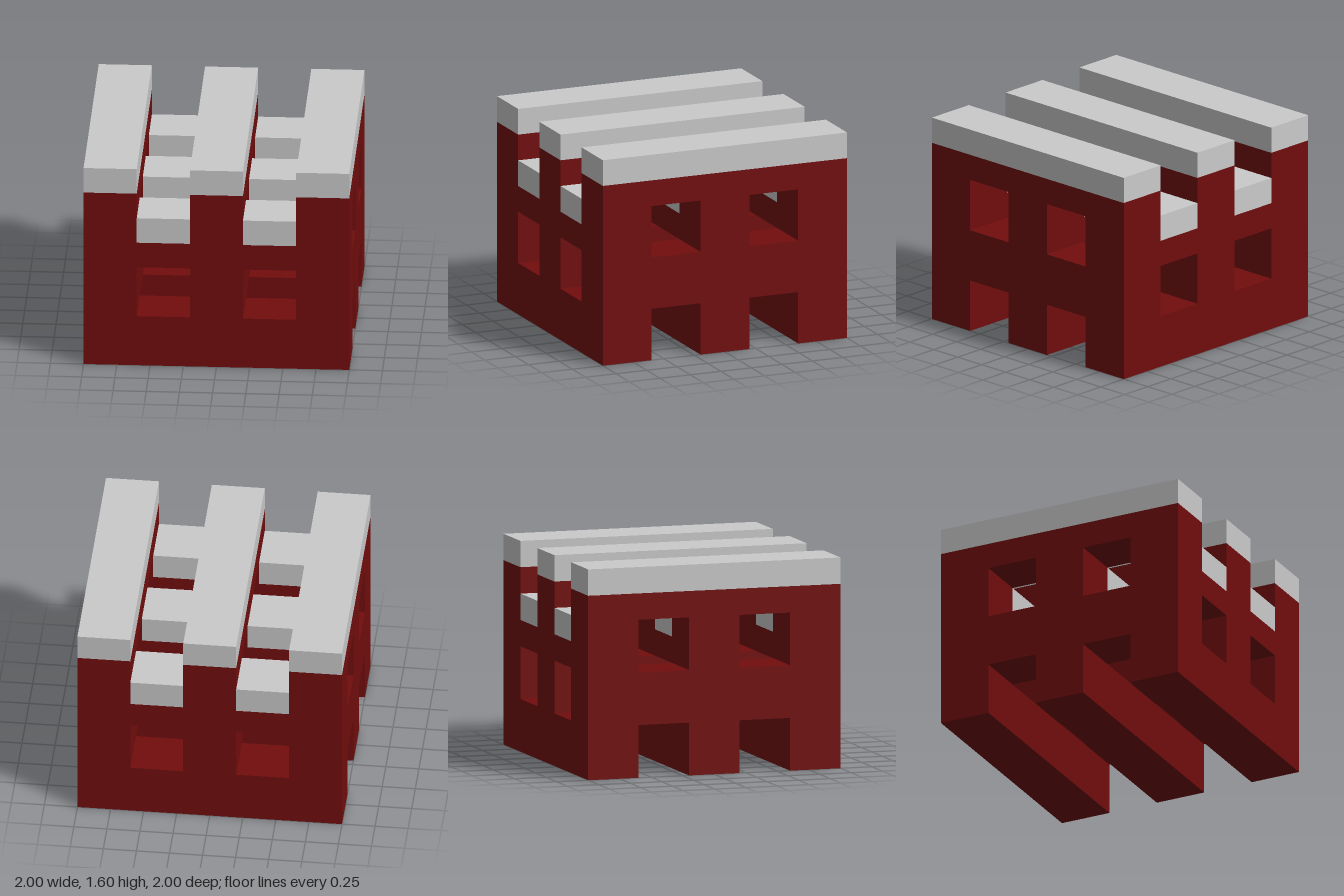
import * as THREE from 'three';

const U = 0.4; // beam width and layer height
const CAP = 0.2; // thickness of the grey tops

export function createModel() {
  const model = new THREE.Group();
  model.name = 'beamLattice';
  const darkRed = new THREE.MeshStandardMaterial({ color: 0x720d0d });
  darkRed.name = 'dark red';
  const lightGrey = new THREE.MeshStandardMaterial({ color: 0xcacaca });
  lightGrey.name = 'light grey';

  function add(name, geometry, material, x, y, z) {
    const mesh = new THREE.Mesh(geometry, material);
    mesh.name = name;
    mesh.position.set(x, y, z);
    model.add(mesh);
  }

  // Side wall outline: three feet with two notches, and two windows above them
  const outline = new THREE.Shape([
    [-1, 0], [-0.6, 0], [-0.6, U], [-0.2, U], [-0.2, 0], [0.2, 0],
    [0.2, U], [0.6, U], [0.6, 0], [1, 0], [1, 1.4], [-1, 1.4],
  ].map(([z, y]) => new THREE.Vector2(z, y)));
  for (const z of [-0.6, 0.2]) {
    outline.holes.push(new THREE.Path([
      [z, 0.8], [z, 1.2], [z + U, 1.2], [z + U, 0.8],
    ].map(([a, b]) => new THREE.Vector2(a, b))));
  }
  const wall = new THREE.ExtrudeGeometry(outline, { depth: U, bevelEnabled: false });
  wall.translate(0, 0, -U / 2).rotateY(Math.PI / 2);

  // Three walls running front to back, each with a grey top rail
  const rail = new THREE.BoxGeometry(U, CAP, 2);
  for (const x of [-0.8, 0, 0.8]) {
    add('wall', wall, darkRed, x, 0, 0);
    add('topRail', rail, lightGrey, x, 1.5, 0);
  }

  // Cross beams bridging the gaps between walls, the upper ones capped in grey
  const lower = new THREE.BoxGeometry(U, U, U);
  const half = new THREE.BoxGeometry(U, CAP, U);
  for (const x of [-0.4, 0.4]) {
    for (const z of [-0.8, 0, 0.8]) {
      add('lowerCrossBeam', lower, darkRed, x, 0.2, z);
      add('upperCrossBeam', half, darkRed, x, 0.9, z);
      add('crossBeamCap', half, lightGrey, x, 1.1, z);
    }
  }
  return model;
}
